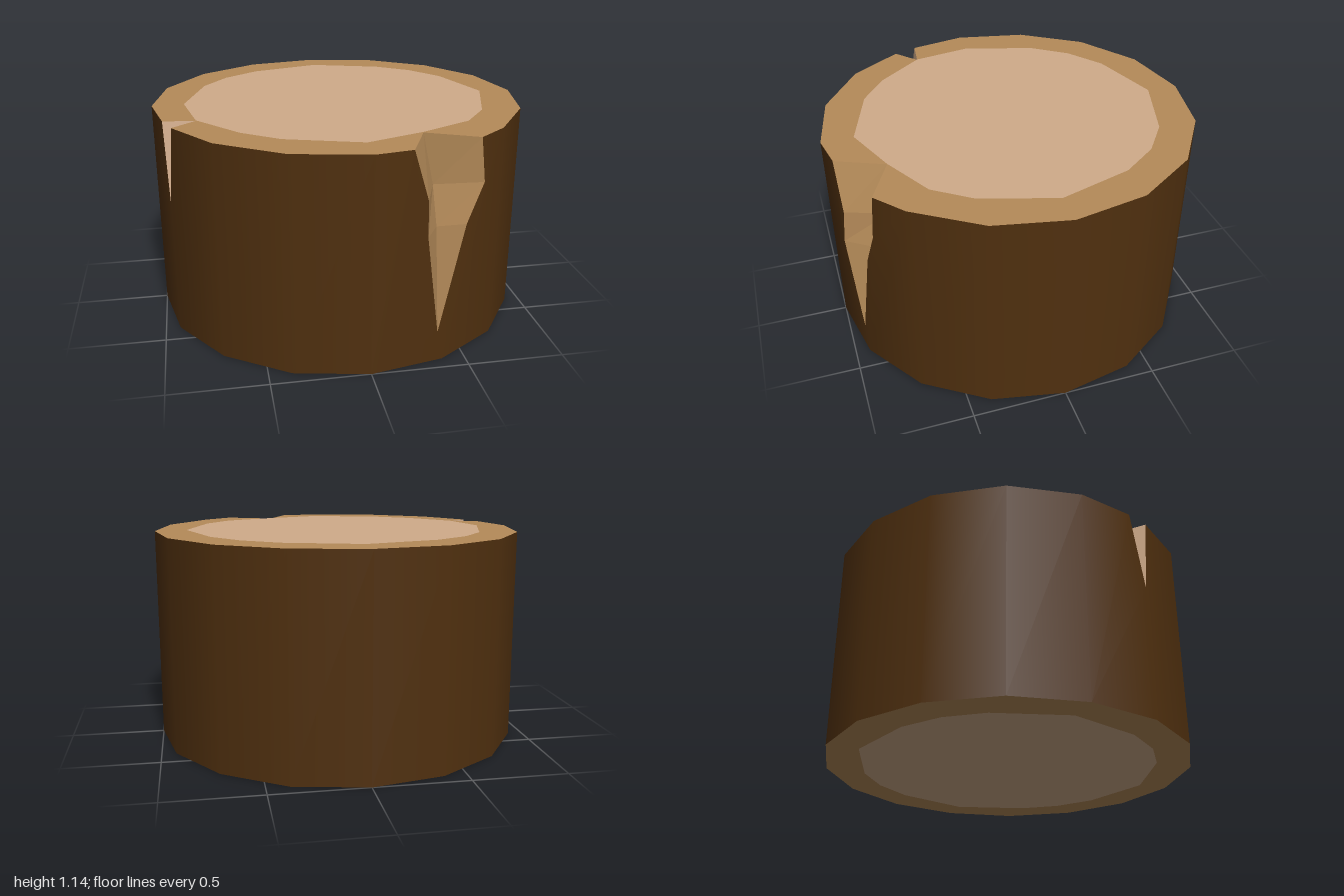
import * as THREE from 'three';

const H = 1.14;
const SIDES = 16;

const bark = new THREE.MeshStandardMaterial({ color: 0x50300f });
bark.name = 'bark brown';
const sapwood = new THREE.MeshStandardMaterial({ color: 0xb58b59 });
sapwood.name = 'sapwood tan';
const heartwood = new THREE.MeshStandardMaterial({ color: 0xd0ab8a });
heartwood.name = 'heartwood pale';

// Corner k of the log outline at height y
const corner = (k, y) => {
  const a = (k / SIDES) * Math.PI * 2;
  return [Math.sin(a), y, Math.cos(a)];
};

// Split in the front: left rim, valley and right rim, each from top to tip
const tip = [0.35, 0.16, 0.93];
const frontLeft = [[0.19, H, 0.965], [0.27, 0.88, 0.952], [0.27, 0.7, 0.968], tip];
const frontValley = [[0.3, H, 0.715], [0.35, 0.88, 0.74], [0.36, 0.68, 0.8], tip];
const frontRight = [[0.555, H, 0.835], [0.573, 0.92, 0.855], [0.485, 0.72, 0.885], tip];

// Small split on the right side
const smallTip = corner(13, 0.72);
const smallLeft = [[-0.94, H, 0.305], smallTip];
const smallValley = [[-0.773, H, 0.325], smallTip];
const smallRight = [[-0.895, H, 0.43], smallTip];

function mesh(name, geometry, material) {
  const m = new THREE.Mesh(geometry, material);
  m.name = name;
  return m;
}

// Flat-shaded wall between two rails that meet at their last point
function wall(left, right) {
  const pos = [];
  for (let i = 0; i < left.length - 1; i++) {
    const [a, b, c, d] = [left[i], left[i + 1], right[i + 1], right[i]];
    pos.push(...a, ...b, ...d);
    if (b !== c) pos.push(...b, ...c, ...d);
  }
  const g = new THREE.BufferGeometry();
  g.setAttribute('position', new THREE.Float32BufferAttribute(pos, 3));
  g.computeVertexNormals();
  return g;
}

// Bark panels, outlined anticlockwise from their lower left corner, with round normals
function barkGeometry() {
  const panels = [
    [corner(0, 0), corner(1, 0), ...[...frontLeft].reverse(), corner(0, H)],
    [corner(1, 0), corner(2, 0), corner(2, H), ...frontRight],
    [corner(12, 0), corner(13, 0), smallTip, smallLeft[0], corner(12, H)],
    [corner(13, 0), corner(14, 0), corner(14, H), ...smallRight],
  ];
  for (const k of [2, 3, 4, 5, 6, 7, 8, 9, 10, 11, 14, 15]) {
    panels.push([corner(k, 0), corner(k + 1, 0), corner(k + 1, H), corner(k, H)]);
  }
  const pos = [], nor = [];
  for (const pts of panels) {
    // unroll around the axis, then triangulate
    const start = Math.atan2(pts[0][0], pts[0][2]);
    const flat = pts.map(([x, y, z]) => {
      let a = Math.atan2(x, z) - start;
      if (a > Math.PI) a -= Math.PI * 2;
      if (a < -Math.PI) a += Math.PI * 2;
      return new THREE.Vector2(a, y);
    });
    for (const face of THREE.ShapeUtils.triangulateShape(flat, [])) {
      for (const i of face) {
        const [x, y, z] = pts[i];
        const r = Math.hypot(x, z);
        pos.push(x, y, z);
        nor.push(x / r, 0, z / r);
      }
    }
  }
  const g = new THREE.BufferGeometry();
  g.setAttribute('position', new THREE.Float32BufferAttribute(pos, 3));
  g.setAttribute('normal', new THREE.Float32BufferAttribute(nor, 3));
  return g;
}

// Flat face from [x, z] points; dir is 1 for up and -1 for down
function cap(points, y, dir) {
  const shape = new THREE.Shape(points.map(([x, z]) => new THREE.Vector2(x, -dir * z)));
  return new THREE.ShapeGeometry(shape).rotateX(-dir * Math.PI / 2).translate(0, y, 0);
}

export function createModel() {
  const group = new THREE.Group();
  group.name = 'log';
  const xz = ([x, , z]) => [x, z];

  group.add(mesh('bark', barkGeometry(), bark));

  // Cut ends
  const outline = [];
  for (let k = 0; k < SIDES; k++) outline.push(xz(corner(k, 0)));
  const notched = outline.slice();
  notched.splice(13, 1, xz(smallLeft[0]), xz(smallValley[0]), xz(smallRight[0]));
  notched.splice(1, 1, xz(frontLeft[0]), xz(frontValley[0]), xz(frontRight[0]));
  group.add(mesh('topSapwood', cap(notched, H, 1), sapwood));
  group.add(mesh('bottomSapwood', cap(outline, 0.003, -1), sapwood));

  // Heartwood: one quarter outline turned four times
  const quarter = [[0, 0.83], [0.385, 0.71], [0.575, 0.57], [0.71, 0.385]];
  const heart = [];
  for (let q = 0; q < 4; q++) {
    for (const [x, z] of quarter) {
      heart.push([[x, z], [z, -x], [-x, -z], [-z, x]][q]);
    }
  }
  const topHeart = heart.slice();
  topHeart[13] = xz(smallValley[0]);
  topHeart[1] = xz(frontValley[0]);
  group.add(mesh('topHeartwood', cap(topHeart, H + 0.003, 1), heartwood));
  group.add(mesh('bottomHeartwood', cap(heart, 0, -1), heartwood));

  // Split walls
  group.add(mesh('frontSplitLeftWall', wall(frontLeft, frontValley), sapwood));
  group.add(mesh('frontSplitRightWall', wall(frontValley, frontRight), sapwood));
  group.add(mesh('smallSplitBackWall', wall(smallLeft, smallValley), heartwood));
  group.add(mesh('smallSplitFrontWall', wall(smallValley, smallRight), heartwood));

  return group;
}
